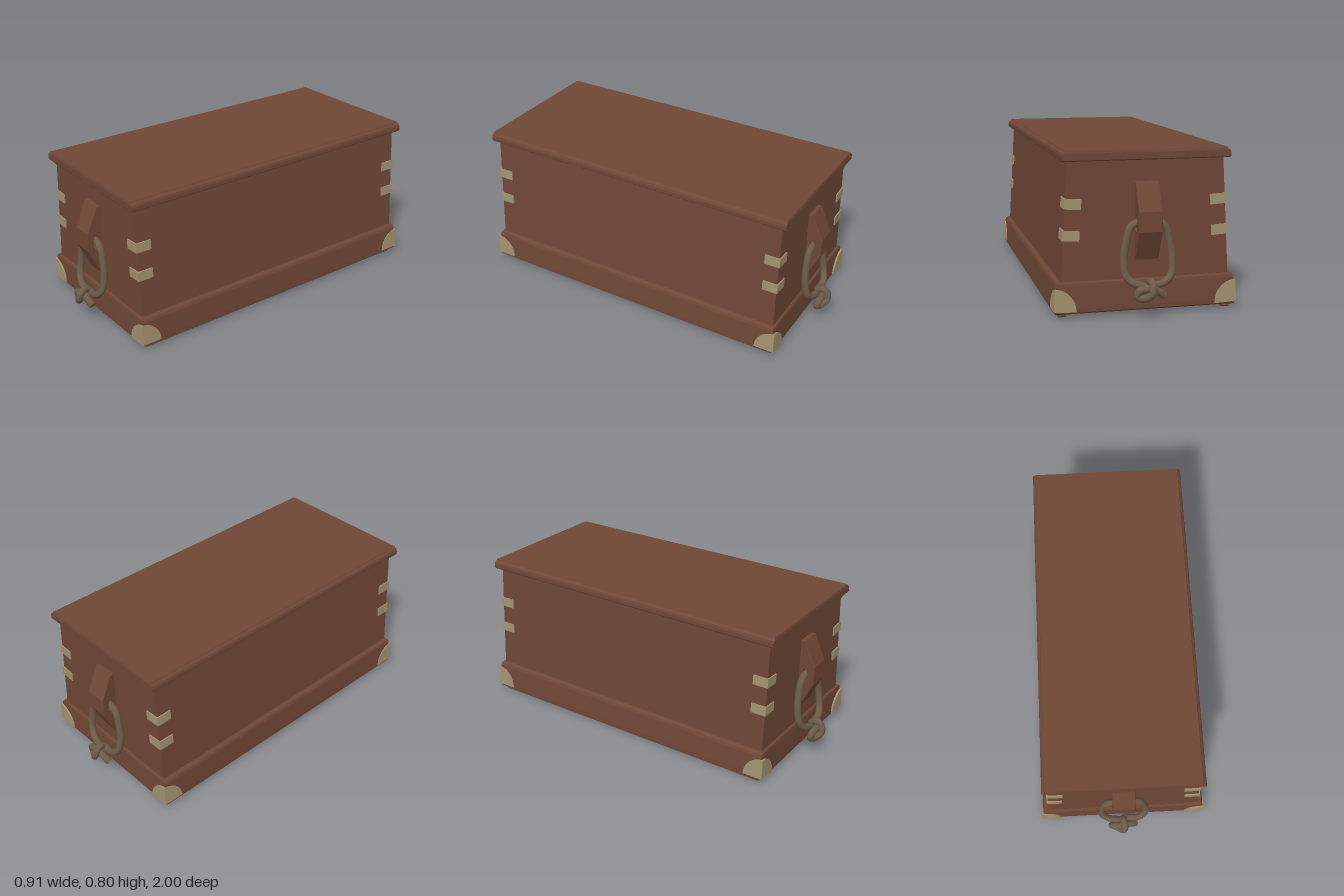
import * as THREE from 'three';

const wood = new THREE.MeshStandardMaterial({ color: 0x6f4735 });
wood.name = 'wood';
const brass = new THREE.MeshStandardMaterial({ color: 0xa3926f });
brass.name = 'brass';
const rope = new THREE.MeshStandardMaterial({ color: 0x6b5b48 });
rope.name = 'rope';

function add(parent, name, geometry, material) {
  const mesh = new THREE.Mesh(geometry, material);
  mesh.name = name;
  parent.add(mesh);
  return mesh;
}

// Stack of rectangles [halfX, halfZ, y] joined by hard-edged faces, capped at both ends
function stack(layers) {
  const rings = layers.map(([x, z, y]) => [[x, y, z], [x, y, -z], [-x, y, -z], [-x, y, z]]);
  const pos = [];
  const quad = (a, b, c, d) => pos.push(...a, ...b, ...c, ...a, ...c, ...d);
  for (let k = 0; k < rings.length - 1; k++) {
    for (let i = 0; i < 4; i++) {
      const j = (i + 1) % 4;
      quad(rings[k][i], rings[k][j], rings[k + 1][j], rings[k + 1][i]);
    }
  }
  quad(...rings[rings.length - 1]);
  quad(...[...rings[0]].reverse());
  const g = new THREE.BufferGeometry();
  g.setAttribute('position', new THREE.Float32BufferAttribute(pos, 3));
  g.computeVertexNormals();
  return g;
}

function polygon(points) {
  return new THREE.Shape(points.map(([x, y]) => new THREE.Vector2(x, y)));
}

// Brass fittings of the +x +z corner
function cornerFittings() {
  const g = new THREE.Group();
  // L-shaped straps leaning with the tapered side
  for (const [y, x] of [[0.545, 0.399], [0.395, 0.408]]) {
    const w = 0.083, t = 0.009;
    const shape = polygon([[0, 0], [0, w], [-t, w], [-t, t], [-w, t], [-w, 0]]);
    const geo = new THREE.ExtrudeGeometry(shape, { depth: 0.05, bevelEnabled: false });
    geo.rotateX(-Math.PI / 2).translate(0, -0.025, 0);
    const strap = add(g, 'cornerStrap', geo, brass);
    strap.position.set(x, y, 0.864);
    strap.rotation.z = 0.061;
  }
  // Quarter-round plates on both faces of the plinth
  const quarter = new THREE.Shape();
  quarter.moveTo(0, 0);
  quarter.lineTo(0, 0.105);
  quarter.absarc(0, 0, 0.108, Math.PI / 2, Math.PI, false);
  quarter.closePath();
  const plate = new THREE.ExtrudeGeometry(quarter, { depth: 0.0095, bevelEnabled: false, curveSegments: 14 });
  const guard = new THREE.Group();
  guard.name = 'cornerGuard';
  guard.position.set(0.453, 0.035, 0.883);
  guard.rotation.z = 0.06;
  add(guard, 'endPlate', plate.clone().translate(0, 0, -0.0095), brass);
  add(guard, 'sidePlate', plate.clone().rotateY(-Math.PI / 2), brass);
  g.add(guard);
  return g;
}

// Cleat, rope loop and knot for the +z end
function handle() {
  const g = new THREE.Group();
  const profile = polygon([[0.85, 0.269], [0.868, 0.269], [0.936, 0.41], [0.936, 0.505], [0.877, 0.636], [0.85, 0.636]]);
  const hole = new THREE.Path();
  hole.absellipse(0.889, 0.445, 0.021, 0.045, 0, Math.PI * 2, true);
  profile.holes.push(hole);
  const cleat = new THREE.ExtrudeGeometry(profile, {
    depth: 0.108, bevelThickness: 0.004, bevelSize: 0.004, bevelSegments: 2, curveSegments: 12,
  });
  cleat.rotateY(-Math.PI / 2).translate(0.054, 0, 0);
  add(g, 'handleCleat', cleat, wood);

  // Right half of the loop, mirrored for the left half
  const half = [[0.08, 0.165, 0.92], [0.112, 0.2, 0.906], [0.119, 0.27, 0.893], [0.106, 0.36, 0.887],
    [0.086, 0.425, 0.886], [0.045, 0.45, 0.886]];
  const mirrored = half.map(([x, y, z]) => [-x, y, z]).reverse();
  const knotStart = [[0.068, 0.102, 0.942], [0.03, 0.128, 0.95], [-0.02, 0.142, 0.958], [-0.06, 0.13, 0.955],
    [-0.064, 0.104, 0.95], [-0.035, 0.097, 0.962], [-0.003, 0.118, 0.981], [0.006, 0.155, 0.972],
    [0.002, 0.173, 0.942], [0.004, 0.155, 0.918], [0.04, 0.15, 0.918]];
  const knotEnd = [[-0.035, 0.15, 0.925], [0.002, 0.13, 0.93], [0.02, 0.115, 0.955]];
  const path = [...knotStart, ...half, ...mirrored, ...knotEnd].map((p) => new THREE.Vector3(...p));
  const curve = new THREE.CatmullRomCurve3(path);
  const radius = 0.0185;
  add(g, 'ropeLoop', new THREE.TubeGeometry(curve, 200, radius, 12), rope);
  // Cut rope ends
  for (const t of [0, 1]) {
    const cap = add(g, 'ropeEnd', new THREE.CircleGeometry(radius, 12), rope);
    const out = curve.getTangent(t).multiplyScalar(t ? 1 : -1);
    cap.position.copy(curve.getPoint(t));
    cap.quaternion.setFromUnitVectors(new THREE.Vector3(0, 0, 1), out);
  }
  return g;
}

export function createModel() {
  const model = new THREE.Group();
  model.name = 'seaChest';

  // Tapered box, plinth and lid
  add(model, 'body', stack([[0.415, 0.858, 0.16], [0.38, 0.858, 0.75]]), wood);
  add(model, 'plinth', stack([[0.44, 0.866, 0.018], [0.449, 0.873, 0.025], [0.449, 0.874, 0.045],
    [0.441, 0.872, 0.152], [0.436, 0.87, 0.166], [0.425, 0.864, 0.173]]), wood);
  add(model, 'lid', stack([[0.404, 0.884, 0.744], [0.409, 0.888, 0.749], [0.409, 0.888, 0.768],
    [0.405, 0.888, 0.78], [0.394, 0.886, 0.789], [0.391, 0.884, 0.795]]), wood);

  // Runners under the long sides
  for (const s of [-1, 1]) {
    const runner = add(model, 'runner', stack([[0.016, 0.846, 0], [0.02, 0.85, 0.004], [0.02, 0.85, 0.022]]), wood);
    runner.position.x = s * 0.408;
  }

  // Both ends: gable cleat under the lid and rope handle
  const gable = new THREE.ExtrudeGeometry(polygon([[-0.38, 0.748], [0, 0.682], [0.38, 0.748]]),
    { depth: 0.03, bevelEnabled: false }).translate(0, 0, 0.854);
  for (const turn of [0, Math.PI]) {
    const end = new THREE.Group();
    end.name = turn ? 'backEnd' : 'frontEnd';
    add(end, 'lidCleat', gable, wood);
    const h = handle();
    h.name = 'ropeHandle';
    end.add(h);
    end.rotation.y = turn;
    model.add(end);
  }

  // Brass on all four corners
  for (const sx of [-1, 1]) {
    for (const sz of [-1, 1]) {
      const corner = cornerFittings();
      corner.name = (sz > 0 ? 'front' : 'back') + (sx > 0 ? 'Left' : 'Right') + 'Fittings';
      corner.scale.set(sx, 1, sz);
      model.add(corner);
    }
  }
  return model;
}
